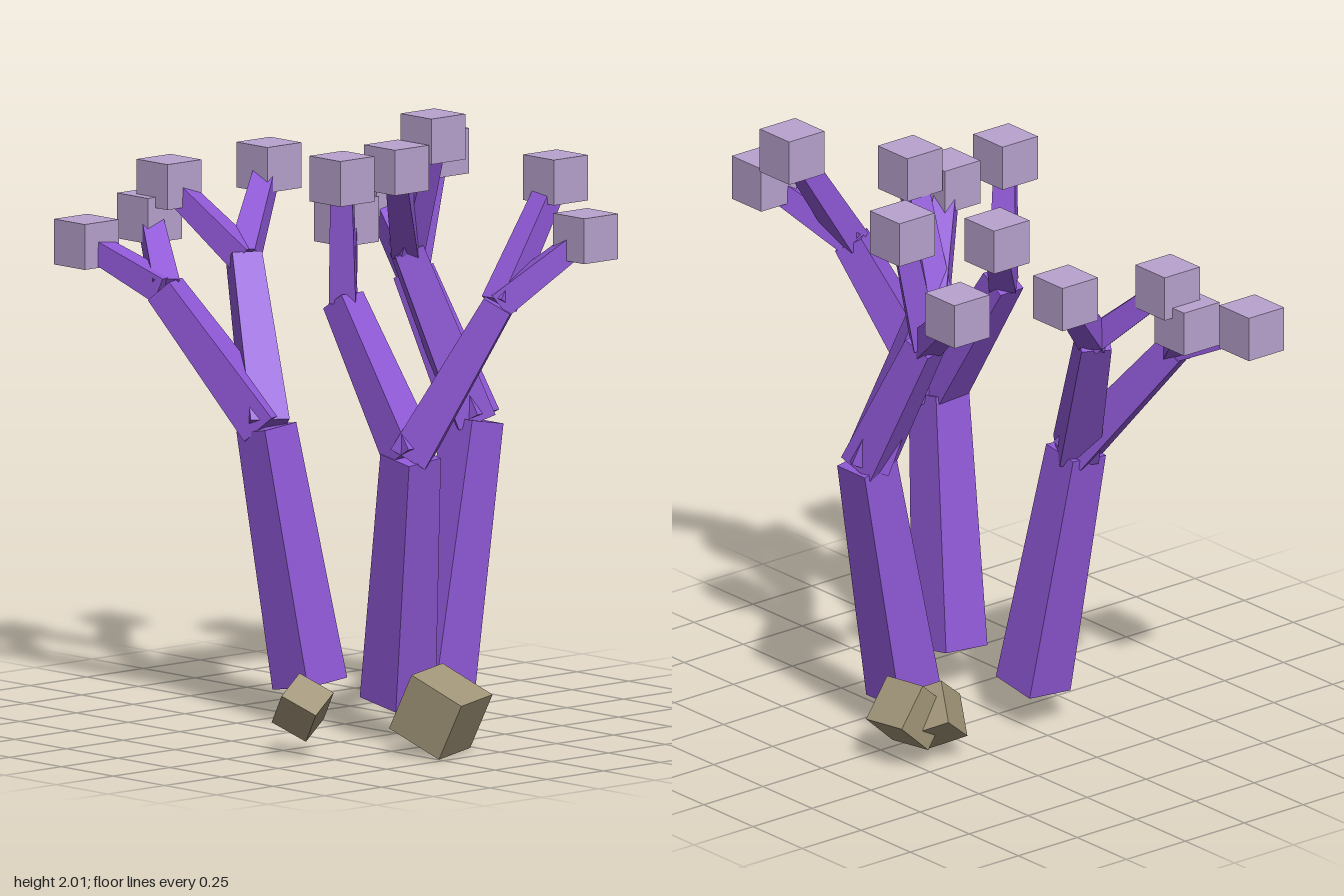
import * as THREE from 'three';

const mat = (name, color) => {
  const m = new THREE.MeshStandardMaterial({ color });
  m.name = name;
  return m;
};
const V = (p) => new THREE.Vector3(...p);

export function createModel() {
  const bark = mat('purple bark', 0x8f58d6);
  const bud = mat('lilac bud', 0xb8a2ce);
  const stone = mat('tan stone', 0xa09478);
  const model = new THREE.Group();

  // Tapered square limb from a to b; "roll" turns its sides to follow the heading
  function limb(name, a, b, w0, w1, roll) {
    const from = V(a), to = V(b), dir = to.clone().sub(from);
    const len = dir.length();
    const geo = new THREE.BoxGeometry(w0, len, w0);
    const pos = geo.attributes.position;
    for (let i = 0; i < pos.count; i++) {
      if (pos.getY(i) > 0) {
        pos.setX(i, pos.getX(i) * w1 / w0);
        pos.setZ(i, pos.getZ(i) * w1 / w0);
      }
    }
    geo.computeVertexNormals();
    const mesh = new THREE.Mesh(geo, bark);
    mesh.name = name;
    mesh.position.copy(from).lerp(to, 0.5);
    dir.normalize();
    if (roll) {
      const side = new THREE.Vector3(dir.z, 0, -dir.x).normalize();
      const out = side.clone().cross(dir);
      mesh.quaternion.setFromRotationMatrix(new THREE.Matrix4().makeBasis(side, dir, out));
    } else {
      mesh.quaternion.setFromUnitVectors(new THREE.Vector3(0, 1, 0), dir);
    }
    return mesh;
  }

  // Each tree: trunk, two branches, two twigs per branch with a cube bud on the tip
  const trees = [
    { name: 'frontTree', base: [-0.055, 0.12, 0.315], top: [-0.13, 0.95, 0.46], branches: [
      { end: [0.055, 1.46, 0.685], tips: [[0.323, 1.845, 0.663], [0.28, 1.68, 0.857]] },
      { end: [-0.145, 1.43, 0.15], tips: [[-0.19, 1.84, 0.193], [0.015, 1.66, -0.01]] }] },
    { name: 'backTree', base: [-0.055, 0.12, -0.11], top: [-0.13, 0.96, -0.238], branches: [
      { end: [-0.27, 1.39, -0.575], tips: [[-0.357, 1.52, -0.86], [-0.12, 1.585, -0.815]] },
      { end: [0.02, 1.47, -0.51], tips: [[-0.086, 1.70, -0.757], [0.273, 1.727, -0.668]] }] },
    { name: 'leftTree', base: [0.315, 0.12, 0.105], top: [0.47, 0.96, 0.105], branches: [
      { end: [0.41, 1.43, -0.12], tips: [[0.475, 1.825, -0.08], [0.485, 1.63, -0.372]] },
      { end: [0.28, 1.53, -0.01], tips: [[0.25, 1.925, 0.15], [0.09, 1.84, 0.15]] }] },
  ];
  const budGeo = new THREE.BoxGeometry(0.15, 0.15, 0.15);
  for (const t of trees) {
    const tree = new THREE.Group();
    tree.name = t.name;
    tree.add(limb('trunk', t.base, t.top, 0.175, 0.14, false));
    for (const b of t.branches) {
      tree.add(limb('branch', t.top, b.end, 0.13, 0.1, true));
      for (const tip of b.tips) {
        tree.add(limb('twig', b.end, tip, 0.088, 0.07, true));
        const cube = new THREE.Mesh(budGeo, bud);
        cube.name = 'bud';
        cube.position.set(...tip);
        tree.add(cube);
      }
    }
    model.add(tree);
  }

  // Tumbled cube rocks: position, size, rotation
  const rocks = [
    [[-0.53, 0.155, 0.377], 0.13, [0.55, 0.5, 0.25]],
    [[-0.17, 0.135, 0.65], 0.205, [0.47, 0.3, -0.1]],
    [[0.49, 0.16, -0.125], 0.16, [0.05, 0.12, 0.72]],
    [[0.405, 0.14, -0.155], 0.15, [0.5, 0.6, 0.4]],
  ];
  for (const [p, s, r] of rocks) {
    const rock = new THREE.Mesh(new THREE.BoxGeometry(s, s, s), stone);
    rock.name = 'rock';
    rock.position.set(...p);
    rock.rotation.set(...r);
    model.add(rock);
  }
  return model;
}
